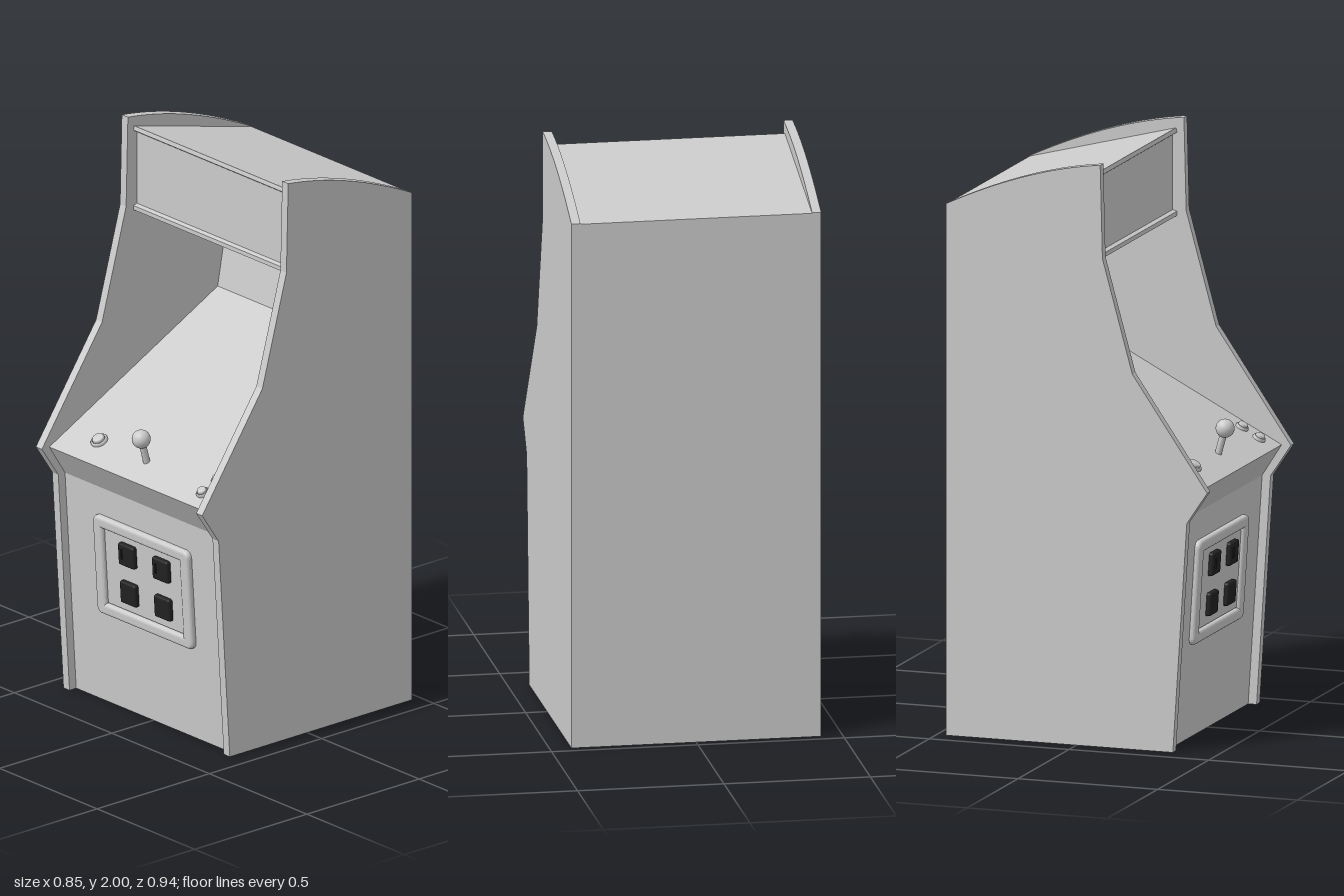
import * as THREE from 'three';
import { RoundedBoxGeometry } from 'three/addons/geometries/RoundedBoxGeometry.js';

const grey = new THREE.MeshStandardMaterial({ color: 0xcccccc });
const black = new THREE.MeshStandardMaterial({ color: 0x222222 });

function part(name, geometry, parent, material = grey) {
  const mesh = new THREE.Mesh(geometry, material);
  mesh.name = name;
  parent.add(mesh);
  return mesh;
}

// Extrudes a (z, y) outline across x, centred on x = 0
function slab(shape, width) {
  const g = new THREE.ExtrudeGeometry(shape, { depth: width, bevelEnabled: false, curveSegments: 16 });
  g.rotateY(-Math.PI / 2);
  g.translate(width / 2, 0, 0);
  return g;
}

function roundedRect(target, w, h, r) {
  const x = w / 2, y = h / 2;
  target.moveTo(-x + r, -y);
  target.lineTo(x - r, -y);
  target.quadraticCurveTo(x, -y, x, -y + r);
  target.lineTo(x, y - r);
  target.quadraticCurveTo(x, y, x - r, y);
  target.lineTo(-x + r, y);
  target.quadraticCurveTo(-x, y, -x, y - r);
  target.lineTo(-x, -y + r);
  target.quadraticCurveTo(-x, -y, -x + r, -y);
  return target;
}

// Control deck slope: from its front edge up to the foot of the screen
const deckFront = { z: 0.435, y: 0.9 }, deckBack = { z: -0.315, y: 1.29 };
const deckSlope = (deckBack.y - deckFront.y) / (deckFront.z - deckBack.z);
const deckTilt = Math.atan(deckSlope);
const deckY = z => deckFront.y + (deckFront.z - z) * deckSlope;

export function createModel() {
  const model = new THREE.Group();
  model.name = 'arcadeCabinet';

  // Side panels
  const side = new THREE.Shape();
  side.moveTo(-0.467, 0);
  for (const [z, y] of [[0.345, 0], [0.395, 0.79], [0.468, 0.9], [0.2, 1.29], [0.093, 1.68], [0.085, 2]]) side.lineTo(z, y);
  side.quadraticCurveTo(-0.17, 1.972, -0.467, 1.828);
  side.closePath();
  for (const s of [1, -1]) {
    part(s > 0 ? 'leftSidePanel' : 'rightSidePanel', slab(side, 0.031), model).position.x = s * 0.411;
  }

  // Body: front, deck, screen, hood underside, recessed marquee, roof
  const body = new THREE.Shape([
    [-0.467, 0], [0.315, 0], [0.365, 0.79], [deckFront.z, deckFront.y], [deckBack.z, deckBack.y],
    [-0.375, 1.622], [0.06, 1.66], [0.06, 1.675], [0.045, 1.68], [0.045, 1.937],
    [0.06, 1.947], [0.057, 1.962], [-0.467, 1.826],
  ].map(([z, y]) => new THREE.Vector2(z, y)));
  part('body', slab(body, 0.791), model);

  // Joystick
  const stick = new THREE.Group();
  stick.name = 'joystick';
  stick.position.set(0.006, 0.935, 0.348);
  stick.rotation.x = 0.27;
  model.add(stick);
  part('stickShaft', new THREE.CylinderGeometry(0.012, 0.012, 0.1, 16), stick).position.y = 0.05;
  part('stickBall', new THREE.SphereGeometry(0.032, 24, 16), stick).position.y = 0.099;

  // Deck buttons: a collar with a plunger
  for (const [x, z, r] of [[-0.238, 0.348, 0.03], [0.332, 0.315, 0.023], [0.327, 0.378, 0.023]]) {
    const button = new THREE.Group();
    button.name = 'deckButton';
    button.position.set(x, deckY(z), z);
    button.rotation.x = deckTilt;
    model.add(button);
    const collar = [[r, -0.005], [r, 0.006], [r * 0.9, 0.01], [r * 0.76, 0.01], [r * 0.74, 0.005]];
    part('buttonCollar', new THREE.LatheGeometry(collar.map(p => new THREE.Vector2(...p)), 24), button);
    const cap = [[r * 0.72, 0], [r * 0.72, 0.015], [r * 0.62, 0.019], [0, 0.019]];
    part('buttonCap', new THREE.LatheGeometry(cap.map(p => new THREE.Vector2(...p)), 24), button);
  }

  // Coin door, lying on the sloped front
  const door = new THREE.Group();
  door.name = 'coinDoor';
  door.position.set(0, 0.51, 0.3473);
  door.rotation.x = Math.atan(0.05 / 0.79);
  model.add(door);
  const frame = roundedRect(new THREE.Shape(), 0.466, 0.336, 0.015);
  frame.holes.push(roundedRect(new THREE.Path(), 0.42, 0.3, 0.005));
  part('doorFrame', new THREE.ExtrudeGeometry(frame, {
    depth: 0.008, bevelThickness: 0.012, bevelSize: 0.012, bevelSegments: 4, curveSegments: 6,
  }), door);
  part('doorPanel', new THREE.BoxGeometry(0.39, 0.27, 0.008), door).position.z = 0.003;

  // Coin slots above, return flaps below
  for (const x of [-0.074, 0.1]) {
    for (const y of [0.075, -0.064]) {
      const plate = part(y > 0 ? 'coinSlotPlate' : 'coinReturnFlap', new RoundedBoxGeometry(0.08, 0.08, 0.026, 3, 0.008), door, black);
      plate.position.set(x, y, 0.011);
    }
    part('coinSlot', new THREE.BoxGeometry(0.006, 0.036, 0.004), door, black).position.set(x - 0.018, 0.078, 0.025);
  }

  return model;
}
